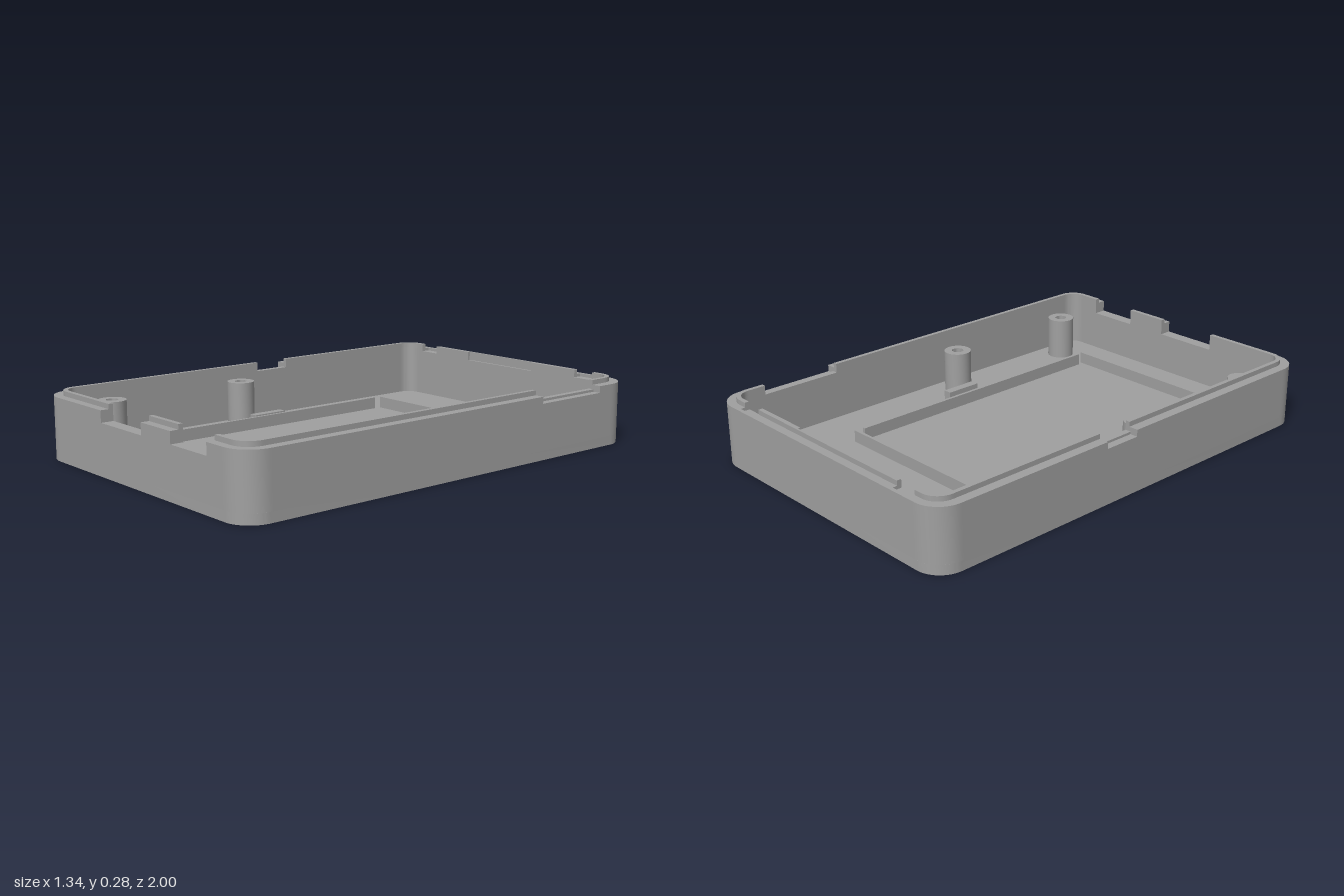
import * as THREE from 'three';
import { toCreasedNormals } from 'three/addons/utils/BufferGeometryUtils.js';

const FLOOR = 0.04, RIM = 0.258, TOP = 0.278;
const CX = 0.55, CZ = 0.88; // where the straight walls meet the corner pieces
const OUTER = { x: 0.67, z: 1, r: 0.11 };
const LIP = { x: 0.63, z: 0.965, r: 0.075 };
const INNER = { x: 0.612, z: 0.946, r: 0.058 };

// Openings: removed from y upward, between a and b along the wall,
// and between lo and hi measured out from the middle of the case
const CUTS = [
  { side: 'front', y: 0.21, a: -0.23, b: 0.05, lo: 0, hi: 2 },
  { side: 'front', y: 0.21, a: 0.24, b: 0.46, lo: 0, hi: 2 },
  { side: 'left', y: 0.23, a: -0.81, b: -0.46, lo: 0.637, hi: 2 },
  { side: 'left', y: 0.24, a: -0.81, b: -0.46, lo: 0, hi: 2 },
  { side: 'right', y: 0.23, a: -0.18, b: -0.02, lo: 0.637, hi: 2 },
  { side: 'right', y: 0.24, a: -0.18, b: -0.02, lo: 0, hi: 2 },
  { side: 'back', y: 0.24, a: -0.215, b: 0.17, lo: 0, hi: 0.957 },
  { side: 'back', y: 0.245, a: -0.52, b: -0.425, lo: 0, hi: 0.984 },
  { side: 'back', y: 0.245, a: 0.42, b: 0.515, lo: 0, hi: 0.984 },
];

const POSTS = [[-0.552, 0.117], [0.509, 0.117], [-0.552, 0.759], [0.509, 0.759]];

export function createModel() {
  const model = new THREE.Group();
  model.name = 'enclosureBase';
  const grey = new THREE.MeshStandardMaterial({ color: 0xa0a0a0 });
  grey.name = 'grey plastic';

  const add = (parent, name, geometry) => {
    const mesh = new THREE.Mesh(geometry, grey);
    mesh.name = name;
    parent.add(mesh);
    return mesh;
  };

  const block = (parent, name, x0, x1, y0, y1, z0, z1) =>
    add(parent, name, new THREE.BoxGeometry(x1 - x0, y1 - y0, z1 - z0))
      .position.set((x0 + x1) / 2, (y0 + y1) / 2, (z0 + z1) / 2);

  // Extrudes a plan shape (shape y is -z) upward from y0 to y1
  const slab = (parent, name, shape, y0, y1) => {
    const g = new THREE.ExtrudeGeometry(shape, { depth: y1 - y0, bevelEnabled: false, curveSegments: 12 });
    g.rotateX(-Math.PI / 2);
    g.translate(0, y0, 0);
    add(parent, name, toCreasedNormals(g, 0.6));
  };

  // Floor with rounded corners and screw holes
  const plan = new THREE.Shape();
  [[1, 1, 0], [-1, 1, 1], [-1, -1, 2], [1, -1, 3]].forEach(([sx, sy, q]) => {
    plan.absarc(sx * (OUTER.x - OUTER.r), sy * (OUTER.z - OUTER.r), OUTER.r,
      q * Math.PI / 2, (q + 1) * Math.PI / 2, false);
  });
  plan.closePath();
  for (const [x, z] of POSTS) {
    plan.holes.push(new THREE.Path().absarc(x, -z, 0.04, 0, Math.PI * 2, true));
  }
  slab(model, 'floor', plan, 0, FLOOR);

  // One quarter-turn wall piece in the given quadrant
  const corner = (parent, out, sx, sy, y0, y1) => {
    const pts = [];
    const arc = (p, from, to) => {
      for (let i = 0; i <= 12; i++) {
        const t = (from + (to - from) * i / 12) * Math.PI / 2;
        pts.push(new THREE.Vector2(sx * (p.x - p.r + p.r * Math.cos(t)), sy * (p.z - p.r + p.r * Math.sin(t))));
      }
    };
    const point = (x, y) => pts.push(new THREE.Vector2(sx * x, sy * y));
    point(out.x, CZ);
    arc(out, 0, 1);
    point(CX, out.z);
    point(CX, INNER.z);
    arc(INNER, 1, 0);
    point(INNER.x, CZ);
    slab(parent, 'wallCorner', new THREE.Shape(pts), y0, y1);
  };

  // Straight wall of one layer, split around its openings
  const straight = (parent, side, out, y0, y1) => {
    const alongX = side === 'front' || side === 'back';
    const sign = side === 'front' || side === 'left' ? 1 : -1;
    const end = alongX ? CX : CZ, axis = alongX ? 'z' : 'x';
    const cuts = CUTS.filter(c => c.side === side && c.y <= y0 + 1e-6);
    const stops = [...new Set([-end, end, ...cuts.flatMap(c => [c.a, c.b])])].sort((p, q) => p - q);
    for (let i = 0; i < stops.length - 1; i++) {
      const a = stops[i], b = stops[i + 1], mid = (a + b) / 2;
      let spans = [[INNER[axis], out[axis]]];
      for (const c of cuts.filter(k => k.a < mid && k.b > mid)) {
        spans = spans.flatMap(([p, q]) => [[p, Math.min(q, c.lo)], [Math.max(p, c.hi), q]])
          .filter(([p, q]) => q - p > 1e-4);
      }
      for (const [p, q] of spans) {
        const [d0, d1] = sign > 0 ? [p, q] : [-q, -p];
        if (alongX) block(parent, side + 'Wall', a, b, y0, y1, d0, d1);
        else block(parent, side + 'Wall', d0, d1, y0, y1, a, b);
      }
    }
  };

  // Walls in layers, then the thin raised lip
  const ring = (name, out, levels) => {
    const group = new THREE.Group();
    group.name = name;
    model.add(group);
    for (const sx of [-1, 1]) for (const sy of [-1, 1]) {
      corner(group, out, sx, sy, levels[0], levels[levels.length - 1]);
    }
    for (let i = 0; i < levels.length - 1; i++) {
      for (const side of ['front', 'back', 'left', 'right']) straight(group, side, out, levels[i], levels[i + 1]);
    }
  };
  ring('walls', OUTER, [FLOOR, 0.21, 0.23, 0.24, 0.245, RIM]);
  ring('lip', LIP, [RIM, TOP]);

  // Hollow screw posts, counterbored from below
  const profile = [[0.058, FLOOR], [0.058, 0.22], [0.025, 0.22], [0.025, 0.1], [0.04, 0.1], [0.04, FLOOR]]
    .map(([r, y]) => new THREE.Vector2(r, y));
  const postGeometry = toCreasedNormals(new THREE.LatheGeometry(profile, 32), 0.6);
  for (const [x, z] of POSTS) add(model, 'screwPost', postGeometry).position.set(x, 0, z);

  // Low ribs framing the middle of the floor
  const ribs = [
    [-0.403, -0.39, -0.523, 0.718], [0.347, 0.36, -0.523, 0.718],
    [-0.39, 0.36, -0.565, -0.552], [-0.39, 0.36, 0.742, 0.756],
  ];
  for (const [x0, x1, z0, z1] of ribs) block(model, 'frameRib', x0, x1, FLOOR, 0.09, z0, z1);

  // Short stops beside the rear posts
  for (const [x0, x1] of [[-0.46, -0.424], [0.4, 0.436]]) {
    block(model, 'sideStop', x0, x1, FLOOR, 0.09, -0.024, 0.135);
  }
  return model;
}
